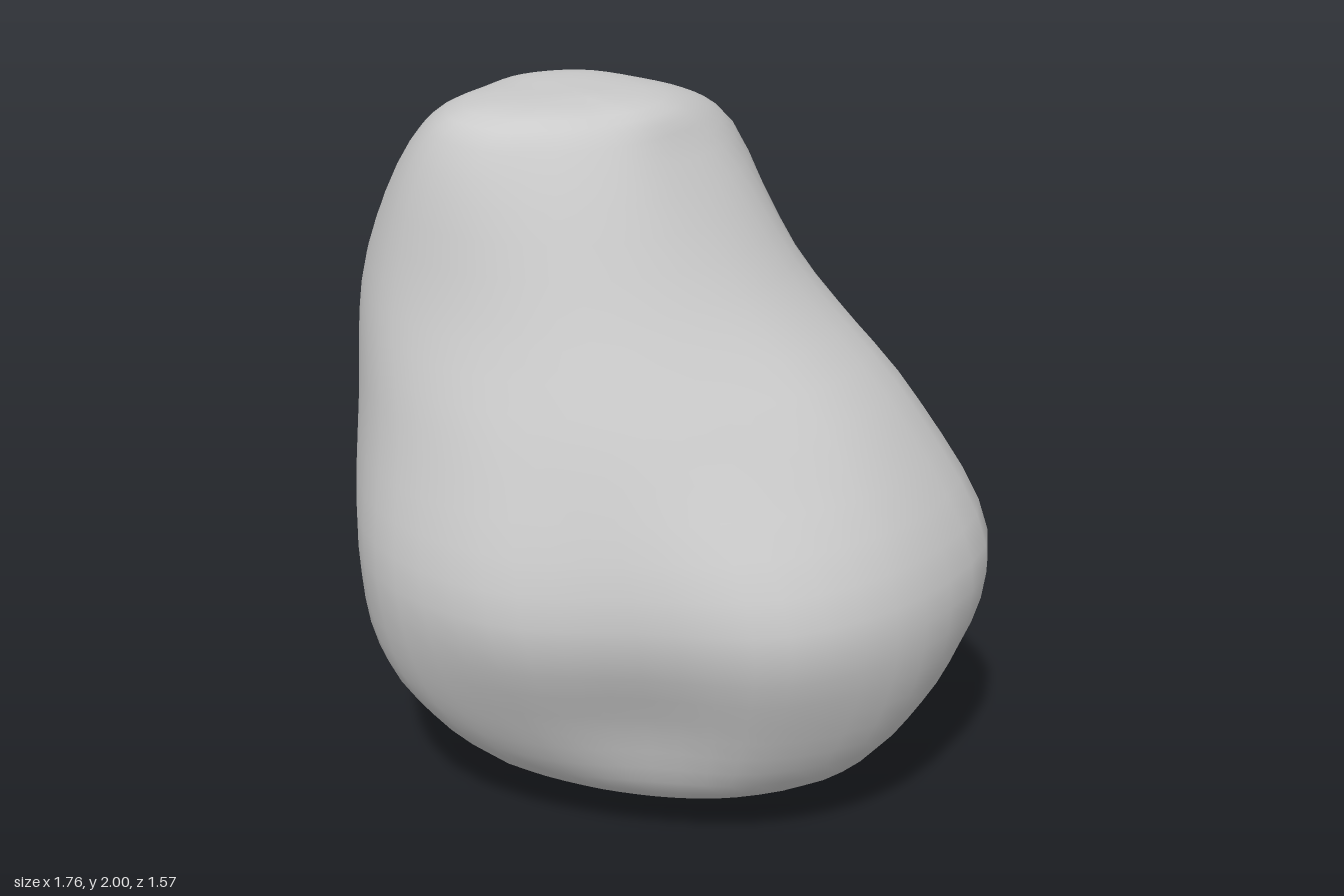
import * as THREE from 'three';

// Horizontal sections, top to bottom: height, centre x, centre z, and radii
// every 30 degrees, from +x through +z (front), -x and -z (back).
const SECTIONS = [
  [1.97, -0.22, 0.08, [0.24, 0.22, 0.24, 0.29, 0.32, 0.29, 0.26, 0.29, 0.30, 0.28, 0.29, 0.27]],
  [1.85, -0.26, 0.02, [0.37, 0.38, 0.40, 0.44, 0.45, 0.42, 0.40, 0.44, 0.48, 0.46, 0.47, 0.42]],
  [1.50, -0.25, 0.00, [0.60, 0.57, 0.56, 0.56, 0.58, 0.59, 0.60, 0.66, 0.67, 0.60, 0.57, 0.62]],
  [1.15, -0.10, 0.00, [0.76, 0.66, 0.64, 0.68, 0.72, 0.74, 0.78, 0.79, 0.79, 0.69, 0.65, 0.80]],
  [0.75, 0.00, 0.00, [0.86, 0.79, 0.69, 0.77, 0.83, 0.83, 0.85, 0.88, 0.88, 0.755, 0.75, 0.93]],
  [0.42, 0.02, 0.00, [0.79, 0.68, 0.56, 0.64, 0.76, 0.79, 0.76, 0.69, 0.67, 0.64, 0.69, 0.82]],
  [0.17, 0.05, 0.02, [0.58, 0.49, 0.43, 0.45, 0.53, 0.54, 0.50, 0.43, 0.43, 0.44, 0.50, 0.57]],
  [0.06, 0.05, 0.06, [0.24, 0.22, 0.20, 0.19, 0.21, 0.23, 0.23, 0.20, 0.19, 0.20, 0.22, 0.24]],
];
const TOP = new THREE.Vector3(-0.17, 2, 0.1);
const BOTTOM = new THREE.Vector3(0.04, 0, 0.07);
const AROUND = 48;
const DOWN = 40;

// Smooth closed outline of one section
function outline([y, cx, cz, radii]) {
  const points = radii.map((r, i) => {
    const a = (i / radii.length) * Math.PI * 2;
    return new THREE.Vector3(cx + r * Math.cos(a), y, cz + r * Math.sin(a));
  });
  const curve = new THREE.CatmullRomCurve3(points, true);
  return Array.from({ length: AROUND }, (_, i) => curve.getPoint(i / AROUND));
}

// Skin the sections with smooth curves running from the top to the bottom
function boulderGeometry() {
  const rings = SECTIONS.map(outline);
  const positions = [];
  const index = [];
  for (let i = 0; i < AROUND; i++) {
    const meridian = new THREE.CatmullRomCurve3([TOP, ...rings.map((ring) => ring[i]), BOTTOM]);
    for (let j = 1; j < DOWN; j++) {
      const p = meridian.getPoint(j / DOWN);
      positions.push(p.x, THREE.MathUtils.clamp(p.y, 0, 2), p.z);
    }
  }
  const rows = DOWN - 1;
  const top = AROUND * rows;
  positions.push(...TOP.toArray(), ...BOTTOM.toArray());

  for (let i = 0; i < AROUND; i++) {
    const a = i * rows;
    const b = ((i + 1) % AROUND) * rows;
    index.push(top, b, a);
    for (let j = 0; j < rows - 1; j++) {
      index.push(a + j, b + j, a + j + 1, b + j, b + j + 1, a + j + 1);
    }
    index.push(a + rows - 1, b + rows - 1, top + 1);
  }
  const geometry = new THREE.BufferGeometry();
  geometry.setAttribute('position', new THREE.Float32BufferAttribute(positions, 3));
  geometry.setIndex(index);
  geometry.computeVertexNormals();
  return geometry;
}

export function createModel() {
  const model = new THREE.Group();
  model.name = 'rock';
  const boulder = new THREE.Mesh(
    boulderGeometry(),
    new THREE.MeshStandardMaterial({ color: 0xcccccc })
  );
  boulder.name = 'boulder';
  model.add(boulder);
  return model;
}
